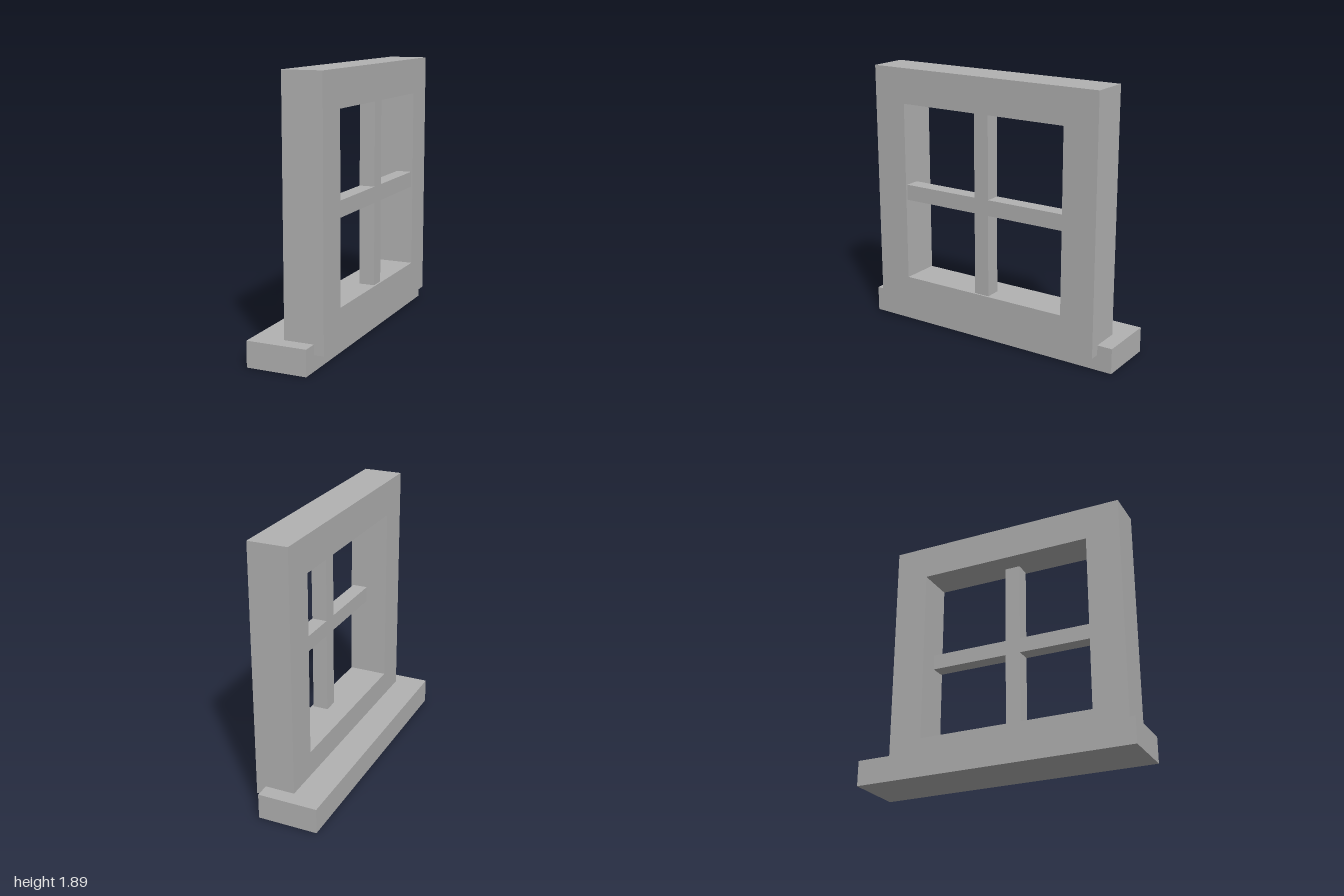
import * as THREE from 'three';

const grey = new THREE.MeshStandardMaterial({ color: 0xb2b2b2 });
grey.name = 'grey';

// Box given by its extents along x, y and z
function block(name, [x0, x1], [y0, y1], [z0, z1]) {
  const mesh = new THREE.Mesh(new THREE.BoxGeometry(x1 - x0, y1 - y0, z1 - z0), grey);
  mesh.position.set((x0 + x1) / 2, (y0 + y1) / 2, (z0 + z1) / 2);
  mesh.name = name;
  return mesh;
}

// Rectangle path symmetric about the middle
function rectangle(path, half, bottom, top) {
  path.moveTo(-half, bottom);
  path.lineTo(half, bottom);
  path.lineTo(half, top);
  path.lineTo(-half, top);
  path.closePath();
  return path;
}

export function createModel() {
  const model = new THREE.Group();
  model.name = 'window';

  // Square frame with one opening, extruded along x
  const outline = rectangle(new THREE.Shape(), 0.892, 0.11, 1.895);
  outline.holes.push(rectangle(new THREE.Path(), 0.643, 0.36, 1.645));
  const frameGeometry = new THREE.ExtrudeGeometry(outline, { depth: 0.28, bevelEnabled: false });
  frameGeometry.rotateY(Math.PI / 2);
  const frame = new THREE.Mesh(frameGeometry, grey);
  frame.position.x = -0.035;
  frame.name = 'frame';
  model.add(frame);

  // Sill, wider than the frame and projecting to one side
  model.add(block('sill', [-0.25, 0.175], [0, 0.18], [-1, 1]));

  // Crossing glazing bars, set close to the +x face
  const barDepth = [0.121, 0.232];
  model.add(block('verticalBar', barDepth, [0.36, 1.645], [-0.056, 0.056]));
  for (const [name, span] of [['leftBar', [0.056, 0.643]], ['rightBar', [-0.643, -0.056]]]) {
    model.add(block(name, barDepth, [0.946, 1.058], span));
  }

  return model;
}
